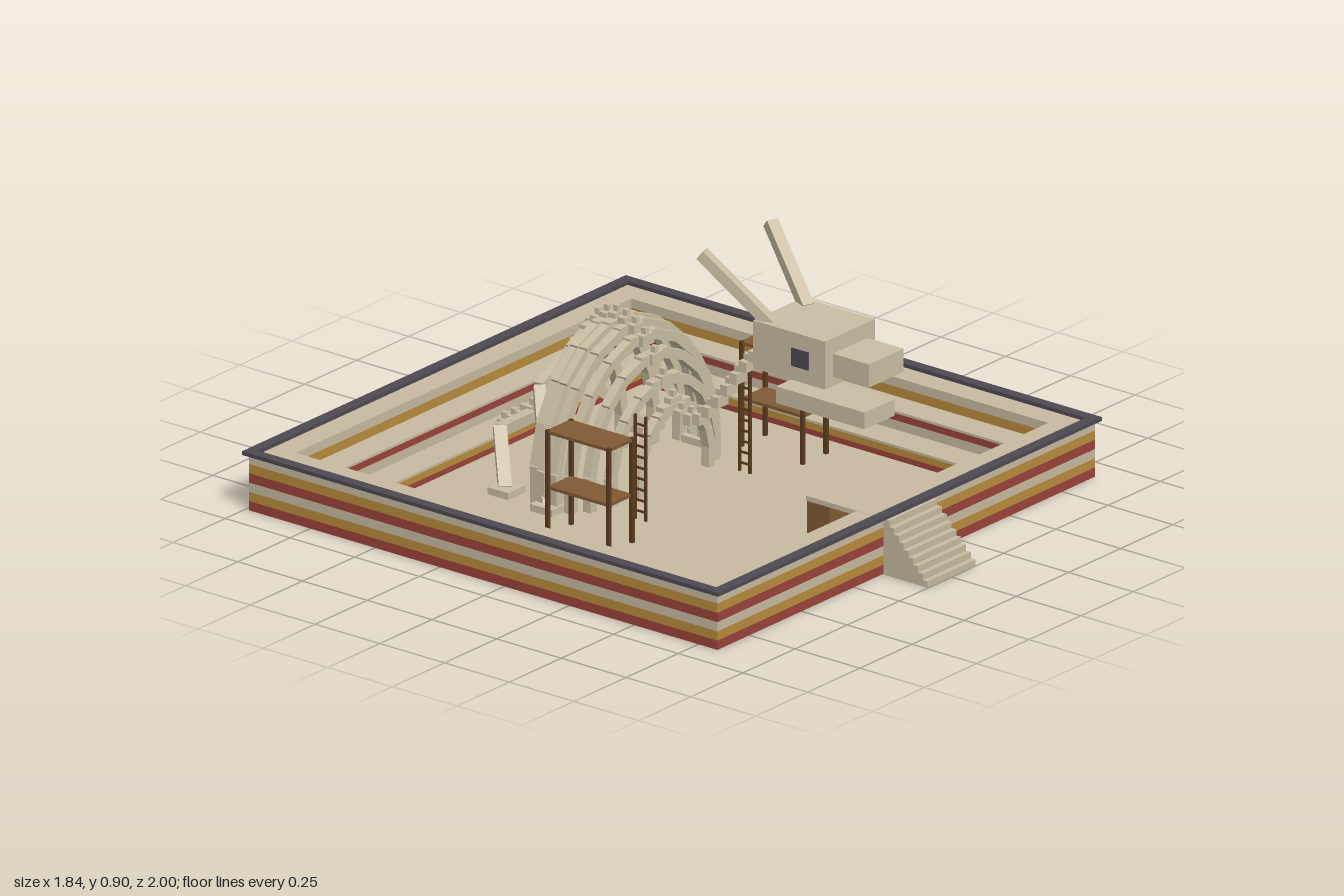
import * as THREE from 'three';

const mat = (name, color) => {
  const m = new THREE.MeshStandardMaterial({ color });
  m.name = name;
  return m;
};

export function createModel() {
  const sand = mat('sand', 0xc6baa0);
  const bone = mat('bone', 0xc9bea3);
  const ochre = mat('ochre', 0xb88a3c);
  const redClay = mat('redClay', 0x9a4239);
  const slate = mat('slate', 0x4f4852);
  const wood = mat('wood', 0x805a35);
  const darkWood = mat('darkWood', 0x5a3c1e);

  const model = new THREE.Group();
  const group = (name) => {
    const g = new THREE.Group();
    g.name = name;
    model.add(g);
    return g;
  };

  // box given by its limits on each axis
  const box = (parent, name, m, x0, x1, y0, y1, z0, z1) => {
    const mesh = new THREE.Mesh(new THREE.BoxGeometry(x1 - x0, y1 - y0, z1 - z0), m);
    mesh.position.set((x0 + x1) / 2, (y0 + y1) / 2, (z0 + z1) / 2);
    mesh.name = name;
    parent.add(mesh);
    return mesh;
  };

  // square beam running from a to b
  const beam = (parent, name, m, a, b, w, h) => {
    const p = new THREE.Vector3(...a), q = new THREE.Vector3(...b);
    const mesh = new THREE.Mesh(new THREE.BoxGeometry(w, h, p.distanceTo(q)), m);
    mesh.position.copy(p).add(q).multiplyScalar(0.5);
    mesh.lookAt(q);
    mesh.name = name;
    parent.add(mesh);
  };

  // square ring around the pit centre, lying between two heights
  const ZC = -0.08;
  const square = (P, r) => {
    const p = new P();
    p.moveTo(-r, -r); p.lineTo(r, -r); p.lineTo(r, r); p.lineTo(-r, r); p.closePath();
    return p;
  };
  const ring = (parent, name, m, outer, inner, y0, y1) => {
    const s = square(THREE.Shape, outer);
    s.holes.push(square(THREE.Path, inner));
    const geo = new THREE.ExtrudeGeometry(s, { depth: y1 - y0, bevelEnabled: false });
    geo.rotateX(-Math.PI / 2);
    const mesh = new THREE.Mesh(geo, m);
    mesh.position.set(0, y0, ZC);
    mesh.name = name;
    parent.add(mesh);
  };

  // pit: layered outer wall, three terraces stepping down, floor and rim
  const pit = group('pit');
  const strata = [redClay, ochre, sand, redClay, ochre, sand];
  const terraces = [0.61, 0.71, 0.805];
  strata.forEach((m, i) => {
    const y = i * 0.03;
    ring(pit, 'outerLayer', m, 0.905, 0.89, y, y + 0.03);
    const r = terraces[Math.floor(i / 2)];
    ring(pit, 'terraceWall', m, r + 0.012, r, y, y + 0.03 - (i % 2) * 0.008);
  });
  terraces.forEach((r, i) => {
    const top = (i + 1) * 0.06;
    ring(pit, 'terraceLedge', sand, i < 2 ? terraces[i + 1] + 0.012 : 0.895, r, top - 0.008, top);
  });
  ring(pit, 'rim', slate, 0.92, 0.885, 0.18, 0.192);
  box(pit, 'floor', sand, -0.615, 0.615, 0, 0.012, ZC - 0.615, ZC + 0.615);

  // entrance stairs and landing
  const entrance = group('entrance');
  for (let i = 0; i < 9; i++) {
    box(entrance, 'step', sand, -0.115, 0.115, i * 0.02, (i + 1) * 0.02, 0.83, 1 - i * 0.0185);
  }
  box(entrance, 'landing', sand, -0.115, 0.115, 0.165, 0.181, 0.53, 0.82);
  box(entrance, 'landingSupport', wood, -0.113, 0.113, 0.012, 0.165, 0.532, 0.62);

  // spine height along z
  const spineKeys = [
    [0.32, 0.6], [0.275, 0.565], [0.21, 0.49], [0.145, 0.405], [0.08, 0.32], [0.03, 0.275],
    [-0.03, 0.26], [-0.075, 0.3], [-0.11, 0.36], [-0.15, 0.43], [-0.19, 0.485], [-0.24, 0.515],
    [-0.29, 0.525], [-0.34, 0.515], [-0.38, 0.485], [-0.42, 0.425], [-0.46, 0.355], [-0.5, 0.28],
    [-0.535, 0.22], [-0.57, 0.18], [-0.64, 0.12], [-0.74, 0.06],
  ];
  const spineY = (z) => {
    for (let i = 1; i < spineKeys.length; i++) {
      const [z0, y0] = spineKeys[i - 1], [z1, y1] = spineKeys[i];
      if (z >= z1) return y0 + (y1 - y0) * (z0 - z) / (z0 - z1);
    }
    return 0.06;
  };

  // vertebrae with small upright spines
  const spine = group('spine');
  const N = 30;
  for (let i = 0; i < N; i++) {
    const z = 0.32 - (i / (N - 1)) * 1.045;
    const y = spineY(z);
    const w = z < -0.45 ? 0.032 - 0.012 * (-0.45 - z) / 0.3 : 0.026;
    box(spine, 'vertebra', bone, -w, w, y - 0.02, y + 0.015, z - 0.014, z + 0.014);
    box(spine, 'vertebraSpine', bone, -0.008, 0.008, y + 0.015, y + 0.035, z - 0.009, z + 0.009);
  }

  // rib cage: paired arches of straight segments
  const ribs = group('ribCage');
  const ribWidths = [0.17, 0.25, 0.3, 0.34, 0.36, 0.365, 0.345, 0.27, 0.17];
  ribWidths.forEach((w, i) => {
    const z = -0.075 - i * 0.042;
    const top = spineY(z) - 0.015;
    box(ribs, 'ribHead', bone, -0.065, 0.065, top - 0.018, top + 0.014, z - 0.015, z + 0.015);
    for (const s of [-1, 1]) {
      const pts = [];
      for (let k = 0; k <= 5; k++) {
        const t = 0.16 + k * 0.32;
        pts.push([s * w * Math.sin(t), top - (top - 0.08) * (1 - Math.cos(t)), z]);
      }
      for (let k = 0; k < 5; k++) beam(ribs, 'ribSegment', bone, pts[k], pts[k + 1], 0.03, 0.03);
    }
  });

  // skull: head, snout, loose jaw, eyes and horns
  const skull = group('skull');
  box(skull, 'head', bone, -0.12, 0.12, 0.545, 0.7, 0.33, 0.608);
  box(skull, 'snout', bone, -0.083, 0.083, 0.575, 0.65, 0.608, 0.748);
  box(skull, 'jaw', bone, -0.072, 0.072, 0.43, 0.484, 0.38, 0.722);
  for (const s of [-1, 1]) {
    box(skull, 'eye', slate, s * 0.121 - 0.003, s * 0.121 + 0.003, 0.592, 0.65, 0.48, 0.546);
    beam(skull, 'horn', bone, [s * 0.085, 0.69, 0.372], [s * 0.165, 0.89, 0.168], 0.038, 0.034);
  }

  // legs with flat feet
  const legs = group('legs');
  for (const s of [-1, 1]) {
    beam(legs, 'hindThigh', bone, [s * 0.02, 0.13, -0.605], [s * 0.235, 0.16, -0.555], 0.035, 0.035);
    beam(legs, 'hindShin', bone, [s * 0.23, 0.165, -0.56], [s * 0.335, 0.025, -0.455], 0.04, 0.035);
    box(legs, 'hindFoot', bone, s * 0.333 - 0.043, s * 0.333 + 0.043, 0.012, 0.035, -0.49, -0.41);
    beam(legs, 'foreArm', bone, [s * 0.05, 0.4, -0.42], [s * 0.24, 0.34, -0.4], 0.03, 0.03);
    beam(legs, 'foreShin', bone, [s * 0.24, 0.345, -0.4], [s * 0.365, 0.025, -0.265], 0.035, 0.03);
    box(legs, 'foreFoot', bone, s * 0.362 - 0.04, s * 0.362 + 0.04, 0.012, 0.035, -0.305, -0.22);
  }

  // scaffolds and ladders on both sides
  for (const s of [-1, 1]) {
    const scaffold = group(s > 0 ? 'leftScaffold' : 'rightScaffold');
    const cx = s * 0.465;
    box(scaffold, 'deck', wood, cx - 0.058, cx + 0.058, 0.34, 0.35, -0.145, 0.1);
    box(scaffold, 'shelf', wood, cx - 0.055, cx + 0.055, 0.16, 0.17, -0.14, 0.095);
    for (const dx of [-0.056, 0.056]) {
      for (const z of [-0.14, 0.095]) {
        box(scaffold, 'post', darkWood, cx + dx - 0.006, cx + dx + 0.006, 0, 0.352, z - 0.006, z + 0.006);
      }
    }
    const ladder = group(s > 0 ? 'leftLadder' : 'rightLadder');
    const lx = s * 0.25;
    for (const z of [-0.02, 0.02]) {
      box(ladder, 'rail', darkWood, lx - 0.004, lx + 0.004, 0, 0.35, z - 0.004, z + 0.004);
    }
    for (let i = 0; i < 9; i++) {
      const y = 0.04 + i * 0.035;
      box(ladder, 'rung', darkWood, lx - 0.003, lx + 0.003, y - 0.003, y + 0.003, -0.02, 0.02);
    }
  }
  return model;
}
